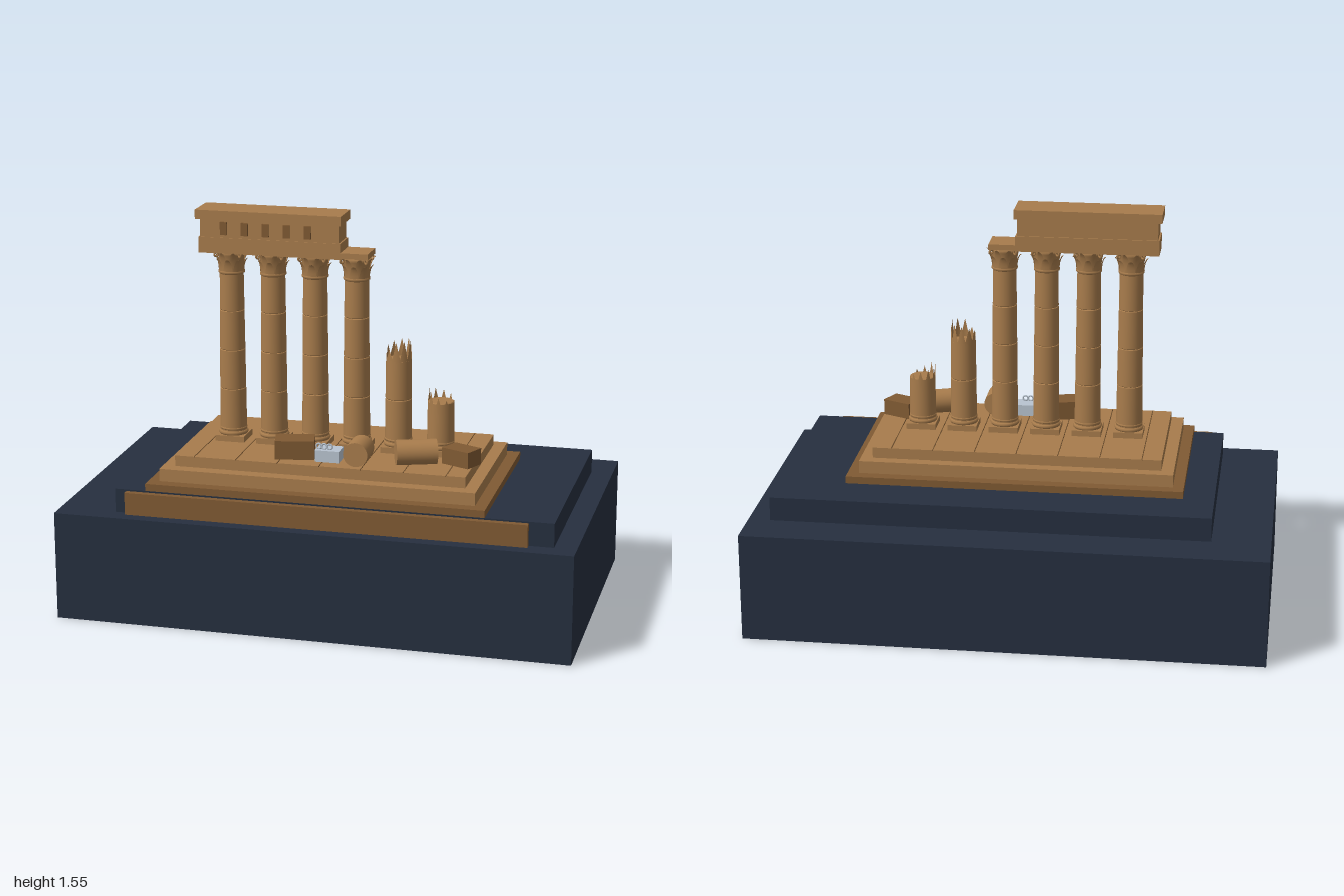
import * as THREE from 'three';

const mat = (color, side = THREE.FrontSide) => new THREE.MeshStandardMaterial({ color, side });
const stone = mat(0xa87c4c);
const darkStone = mat(0x805a33);
const stoneThin = mat(0xa87c4c, THREE.DoubleSide);
const recess = mat(0x5f4326);
const navy = mat(0x262f3f);
const pale = mat(0xb9c4d0);
const FLOOR = 0.637, COL_Z = 0.14;

function add(parent, name, geometry, material, x = 0, y = 0, z = 0, ry = 0) {
  const m = new THREE.Mesh(geometry, material);
  m.name = name;
  m.position.set(x, y, z);
  m.rotation.y = ry;
  parent.add(m);
  return m;
}

// Box given by its extents
function block(parent, name, material, x0, x1, y0, y1, z0, z1) {
  return add(parent, name, new THREE.BoxGeometry(x1 - x0, y1 - y0, z1 - z0), material,
    (x0 + x1) / 2, (y0 + y1) / 2, (z0 + z1) / 2);
}

// Tapering leaf that curls outwards at its tip
function leafGeometry(width, height, curl) {
  const g = new THREE.PlaneGeometry(width, height, 2, 5);
  g.translate(0, height / 2, 0);
  const p = g.attributes.position;
  for (let i = 0; i < p.count; i++) {
    const t = p.getY(i) / height;
    const side = p.getX(i) / (width / 2);
    p.setX(i, p.getX(i) * (1 - 0.75 * t * t));
    p.setZ(i, curl * t * t - 0.004 * side * side);
    p.setY(i, height * (t - 0.2 * t ** 4));
  }
  g.computeVertexNormals();
  return g;
}

const radiusAt = y => 0.052 - 0.006 * (y - 0.69) / 0.61;

// Moulded square base shared by every column
function columnBase(parent) {
  block(parent, 'basePlinth', stone, -0.058, 0.058, FLOOR, 0.66, -0.058, 0.058);
  const lower = add(parent, 'baseTorus', new THREE.TorusGeometry(0.048, 0.01, 8, 28), stone, 0, 0.668, 0);
  const upper = add(parent, 'baseRing', new THREE.TorusGeometry(0.048, 0.006, 8, 28), stone, 0, 0.685, 0);
  lower.rotation.x = upper.rotation.x = Math.PI / 2;
}

// Shaft of stacked drums with narrow joints between them
function shaft(parent, top) {
  const joints = [0.66, 0.845, 1.0, 1.155, 1.305].filter(y => y < top - 0.01);
  joints.push(top);
  for (let i = 0; i < joints.length - 1; i++) {
    const a = joints[i], b = joints[i + 1], c = 0.0025;
    const profile = [[0, a], [radiusAt(a) - c, a], [radiusAt(a), a + c],
      [radiusAt(b), b - c], [radiusAt(b) - c, b], [0, b]];
    // Each straight run is its own lathe, keeping the drum edges crisp
    for (let k = 0; k < profile.length - 1; k++) {
      const run = [profile[k], profile[k + 1]].map(q => new THREE.Vector2(...q));
      add(parent, 'shaftDrum', new THREE.LatheGeometry(run, 28), stone);
    }
  }
}

// Leafy capital topped by a square abacus
function capital(parent) {
  const bell = [[0.046, 1.298], [0.051, 1.302], [0.051, 1.309], [0.046, 1.313],
    [0.047, 1.345], [0.052, 1.372], [0.06, 1.388], [0, 1.388]];
  add(parent, 'capitalBell', new THREE.LatheGeometry(bell.map(q => new THREE.Vector2(...q)), 28), stone);
  const small = leafGeometry(0.034, 0.062, 0.016);
  const tall = leafGeometry(0.034, 0.098, 0.025);
  for (let i = 0; i < 16; i++) {
    const a = i * Math.PI / 8, r = i % 2 ? 0.048 : 0.05;
    add(parent, 'capitalLeaf', i % 2 ? tall : small, stoneThin,
      Math.sin(a) * r, 1.309, Math.cos(a) * r, a);
  }
  // Corner scrolls
  for (let i = 0; i < 4; i++) {
    const a = Math.PI / 4 + i * Math.PI / 2;
    add(parent, 'cornerScroll', new THREE.TorusGeometry(0.008, 0.004, 6, 12), stone,
      Math.sin(a) * 0.066, 1.377, Math.cos(a) * 0.066, a + Math.PI / 2);
  }
  block(parent, 'abacus', stone, -0.056, 0.056, 1.388, 1.41, -0.06, 0.06);
}

// Splintered rim of a broken shaft
function brokenRim(parent, y, height, seed) {
  const n = 20, g = new THREE.CylinderGeometry(radiusAt(y), radiusAt(y), height, n, 1, true);
  const p = g.attributes.position;
  for (let i = 0; i <= n; i++) {
    const k = i % n;
    const t = k % 2 ? 0.08 + 0.12 * Math.abs(Math.sin(k + seed)) : 0.5 + 0.5 * Math.abs(Math.sin(k * 1.7 + seed));
    p.setY(i, -height / 2 + height * t);
  }
  add(parent, 'brokenRim', g, stoneThin, 0, y + height / 2, 0);
}

export function createModel() {
  const model = new THREE.Group();
  model.name = 'ruinedTemple';

  // Display base and front board
  block(model, 'base', navy, -1, 1, 0, 0.425, -0.59, 0.59);
  block(model, 'upperBase', navy, -0.775, 0.915, 0.425, 0.518, -0.42, 0.517);
  block(model, 'frontBoard', darkStone, -0.73, 0.82, 0.425, 0.512, 0.517, 0.541);

  // Stepped platform
  block(model, 'lowerStep', darkStone, -0.655, 0.655, 0.518, 0.546, -0.235, 0.516);
  block(model, 'middleStep', stone, -0.613, 0.61, 0.546, 0.595, -0.19, 0.47);
  block(model, 'upperStep', stone, -0.565, 0.563, 0.595, FLOOR, -0.146, 0.42);
  for (let i = -3; i <= 3; i++) {
    block(model, 'pavingJoint', recess, i * 0.163 - 0.0015, i * 0.163 + 0.0015, FLOOR - 0.003, FLOOR + 0.0008, -0.146, 0.42);
  }

  // Four whole columns and two broken ones
  for (let i = 0; i < 6; i++) {
    const column = new THREE.Group();
    column.name = i < 4 ? 'column' : 'brokenColumn';
    column.position.set(-0.415 + i * 0.165, 0, COL_Z);
    columnBase(column);
    if (i < 4) {
      shaft(column, 1.305);
      capital(column);
    } else {
      shaft(column, i === 4 ? 1.0 : 0.845);
      if (i === 4) brokenRim(column, 0.99, 0.09, 1);
      else brokenRim(column, 0.8, 0.09, 2.6);
    }
    model.add(column);
  }

  // Entablature over the first three columns
  const beam = new THREE.Group();
  beam.name = 'entablature';
  block(beam, 'architrave', stone, -0.525, 0.031, 1.385, 1.446, 0.08, 0.206);
  block(beam, 'frieze', stone, -0.519, 0.025, 1.446, 1.516, 0.085, 0.203);
  block(beam, 'cornice', stone, -0.535, 0.036, 1.516, 1.552, 0.07, 0.216);
  for (let i = 0; i < 5; i++) {
    const x = -0.425 + i * 0.082;
    block(beam, 'friezeBlock', darkStone, x - 0.013, x + 0.013, 1.458, 1.508, 0.2, 0.212);
  }
  model.add(beam);

  // Fallen blocks and drums
  add(model, 'fallenBlock', new THREE.BoxGeometry(0.15, 0.073, 0.098), darkStone, -0.12, FLOOR + 0.0365, 0.315, 0.22);
  add(model, 'fallenCornerBlock', new THREE.BoxGeometry(0.12, 0.063, 0.085), darkStone, 0.515, FLOOR + 0.0315, 0.257, -0.43);
  const drum = new THREE.CylinderGeometry(0.047, 0.047, 0.112, 28).rotateX(Math.PI / 2);
  add(model, 'fallenDrum', drum, stone, 0.137, FLOOR + 0.047, 0.34);
  const longDrum = new THREE.CylinderGeometry(0.048, 0.048, 0.155, 28).rotateZ(Math.PI / 2);
  add(model, 'fallenLongDrum', longDrum, stone, 0.35, FLOOR + 0.048, 0.303, 0.35);

  // Small pale fragment with curled ornament
  block(model, 'paleFragment', pale, -0.03, 0.067, FLOOR, 0.682, 0.292, 0.367);
  for (let i = 0; i < 3; i++) {
    add(model, 'fragmentCurl', new THREE.TorusGeometry(0.01, 0.0035, 6, 14), pale, -0.018 + i * 0.021, 0.694, 0.348);
  }
  return model;
}
